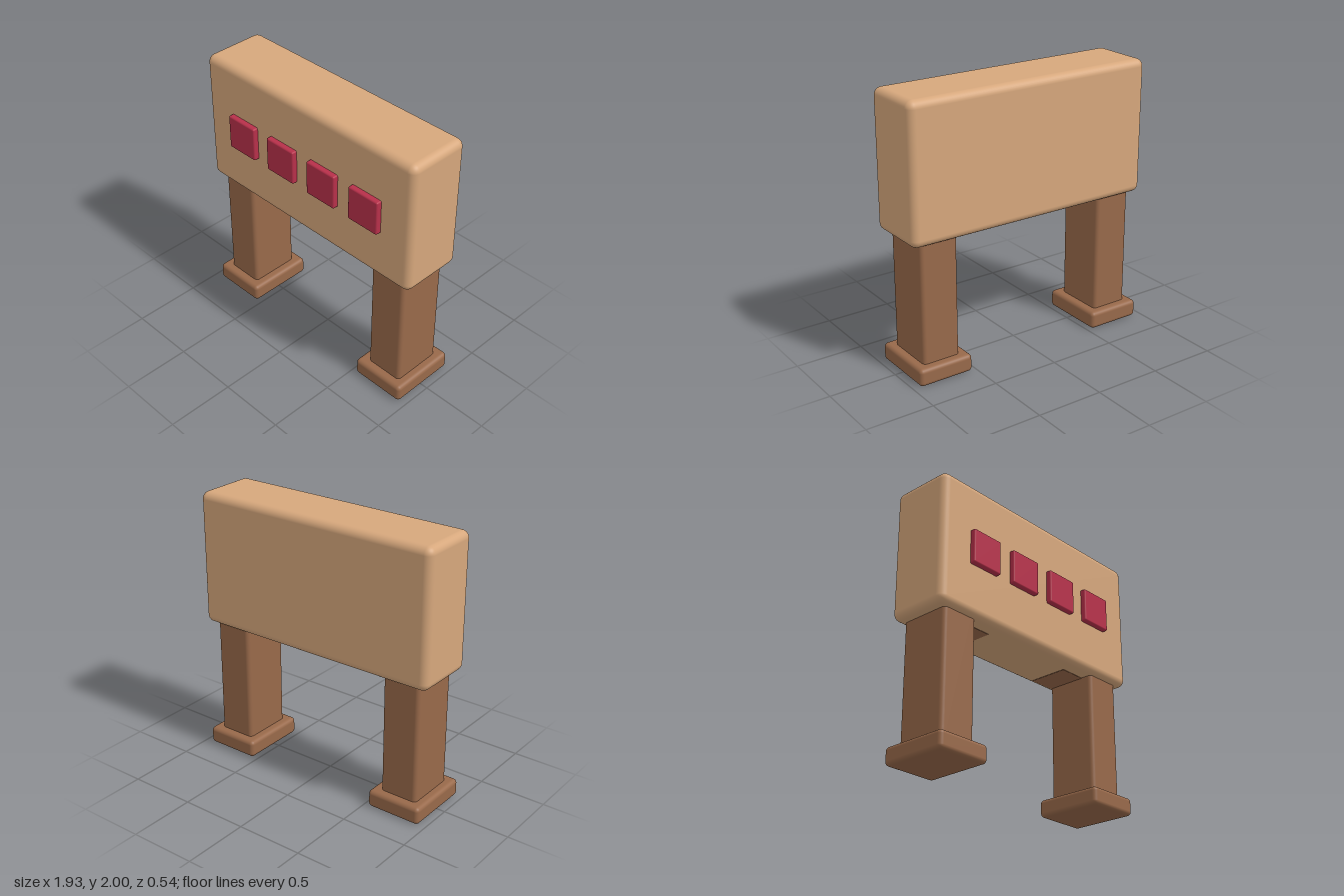
import * as THREE from 'three';
import { RoundedBoxGeometry } from 'three/addons/geometries/RoundedBoxGeometry.js';

const material = (name, color) => {
  const m = new THREE.MeshStandardMaterial({ color });
  m.name = name;
  return m;
};

export function createModel() {
  const model = new THREE.Group();
  model.name = 'signStand';
  const tan = material('tanWood', 0xd6a77c);
  const brown = material('brownWood', 0x98694a);
  const red = material('red', 0xb7304a);

  // Rounded block given by its lower and upper corners
  const block = (name, mat, min, max, radius) => {
    const size = max.map((v, i) => v - min[i]);
    const mesh = new THREE.Mesh(new RoundedBoxGeometry(...size, 4, radius), mat);
    mesh.position.set(...max.map((v, i) => (v + min[i]) / 2));
    mesh.name = name;
    model.add(mesh);
  };

  // Main board
  block('board', tan, [-0.965, 1.005, -0.25], [0.965, 2, 0.23], 0.055);

  // Row of four square panels on the front
  for (let i = 0; i < 4; i++) {
    const x = -0.58 + i * 0.387;
    block('panel', red, [x - 0.129, 1.375, 0.18], [x + 0.129, 1.632, 0.27], 0.012);
  }

  // Legs, feet and the mounting plates under the board
  for (const side of [-1, 1]) {
    const part = (name, inner, outer, y0, y1, z0, z1, radius) => {
      const xs = [side * inner, side * outer].sort((a, b) => a - b);
      block(name, brown, [xs[0], y0, z0], [xs[1], y1, z1], radius);
    };
    part('leg', 0.598, 0.886, 0.06, 1.1, -0.203, 0.182, 0.03);
    part('foot', 0.532, 0.95, 0, 0.13, -0.267, 0.247, 0.03);
    part('mountingPlate', 0.39, 0.82, 1.002, 1.03, -0.2, 0.1, 0.004);
  }
  return model;
}
